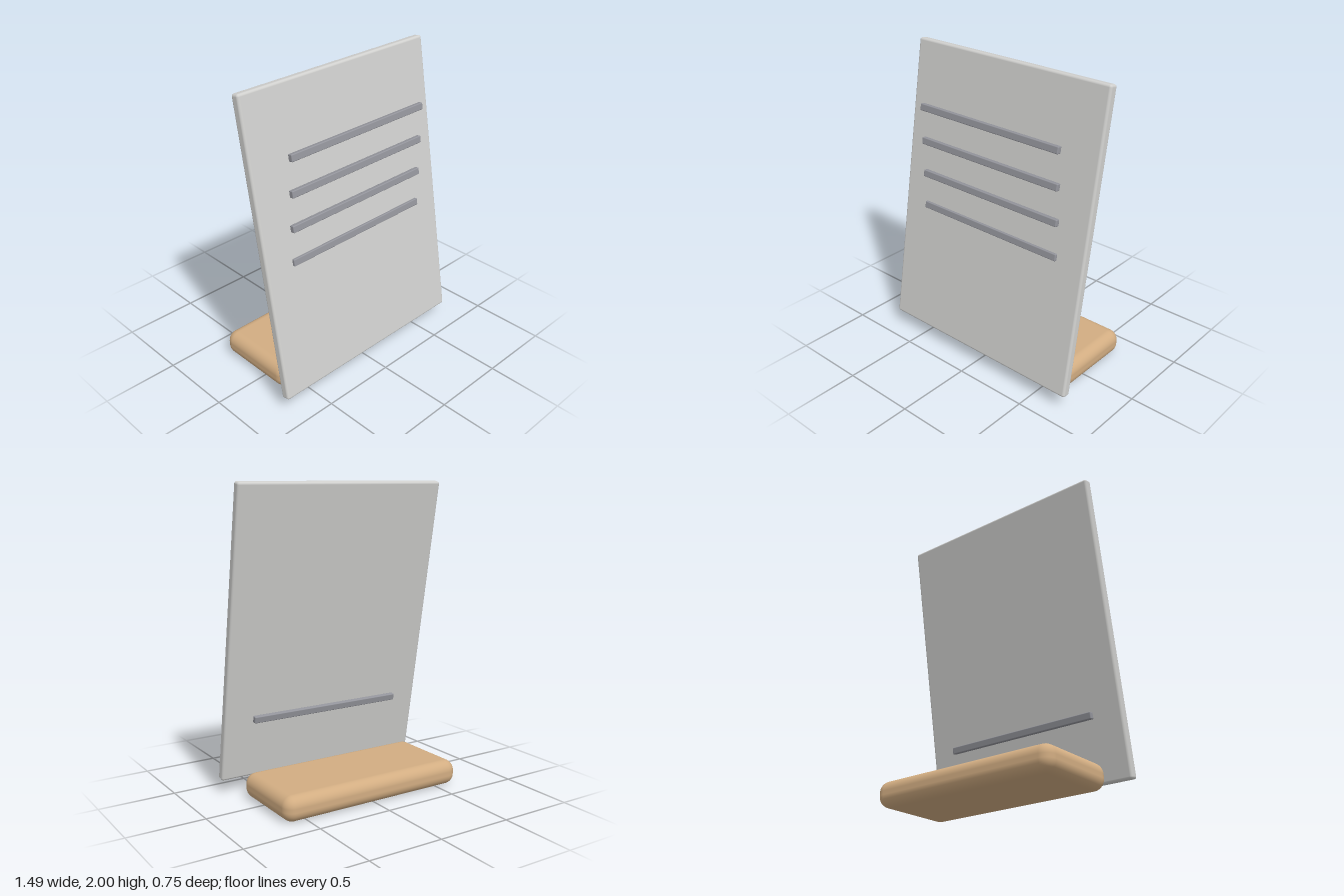
import * as THREE from 'three';
import { RoundedBoxGeometry } from 'three/addons/geometries/RoundedBoxGeometry.js';

const TILT = -THREE.MathUtils.degToRad(10);

function material(name, color) {
  const m = new THREE.MeshStandardMaterial({ color });
  m.name = name;
  return m;
}

// Rounded box placed by its centre and leaned back by tilt
function roundedPart(name, mat, [w, h, d], radius, [x, y, z], tilt = 0) {
  const mesh = new THREE.Mesh(new RoundedBoxGeometry(w, h, d, 5, radius), mat);
  mesh.name = name;
  mesh.position.set(x, y, z);
  mesh.rotation.x = tilt;
  return mesh;
}

export function createModel() {
  const group = new THREE.Group();
  group.name = 'slantedDisplayStand';

  const panelGrey = material('panel grey', 0xd0d0ce);
  const barGrey = material('bar grey', 0x94959c);
  const tan = material('tan', 0xd2ad82);

  // Soft block foot behind the panel
  group.add(roundedPart('base', tan, [1.3, 0.165, 0.585], 0.07, [0, 0.0825, -0.083]));

  // Leaning panel
  group.add(roundedPart('panel', panelGrey, [1.49, 1.935, 0.06], 0.016, [0, 1.0425, 0.177], TILT));

  // Evenly spaced bars in one vertical plane, crossing the leaning panel
  const bars = new THREE.Group();
  bars.name = 'bars';
  for (let i = 0; i < 6; i++) {
    const y = 1.628 - i * 0.2275;
    bars.add(roundedPart('bar' + (i + 1), barGrey, [1.1, 0.045, 0.032], 0.006, [0, y, 0.226], TILT));
  }
  group.add(bars);

  return group;
}
